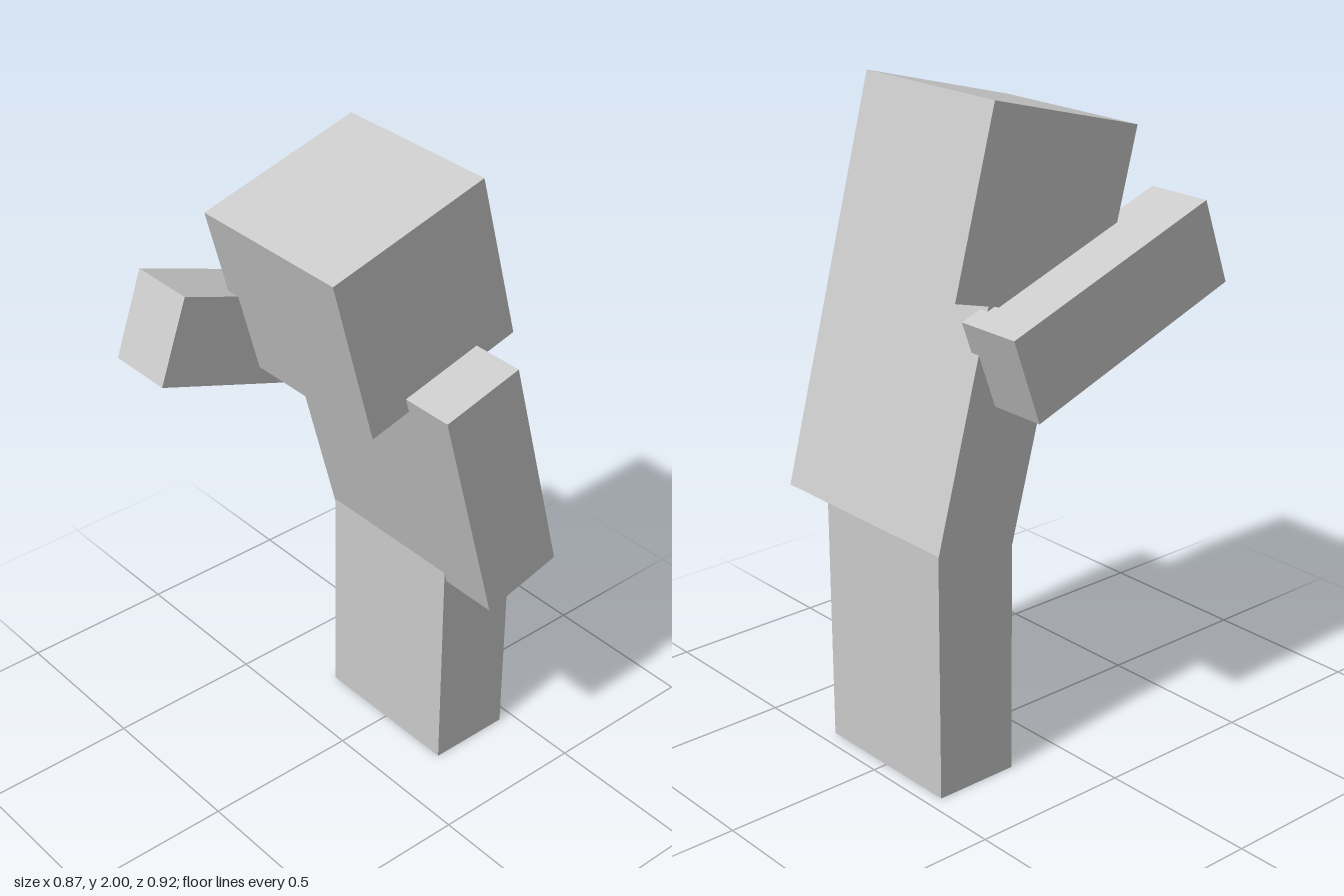
import * as THREE from 'three';

const material = new THREE.MeshStandardMaterial({ color: 0xcccccc, flatShading: true });

// Box given by its x range, height, depth, centre (y, z) and forward tilt in degrees
function block(name, [x0, x1], height, depth, [y, z], tilt = 0) {
  const mesh = new THREE.Mesh(new THREE.BoxGeometry(x1 - x0, height, depth), material);
  mesh.name = name;
  mesh.position.set((x0 + x1) / 2, y, z);
  mesh.rotation.x = THREE.MathUtils.degToRad(tilt);
  return mesh;
}

export function createModel() {
  const group = new THREE.Group();
  group.name = 'blockFigure';
  const lean = 15;

  group.add(
    // Upper body leaning forward
    block('head', [-0.272, 0.268], 0.54, 0.54, [1.67, -0.071], lean),
    block('torso', [-0.257, 0.245], 0.755, 0.27, [1.09, -0.227], lean),
    // Left arm hangs along the torso, right arm reaches forward and up
    block('leftArm', [0.224, 0.435], 0.755, 0.27, [1.09, -0.227], lean),
    block('rightArm', [-0.438, -0.227], 0.755, 0.27, [1.405, 0.06], 70.25),
    // Upright legs side by side
    block('rightLeg', [-0.254, -0.002], 0.76, 0.269, [0.38, -0.3195]),
    block('leftLeg', [-0.002, 0.25], 0.76, 0.269, [0.38, -0.3195])
  );
  return group;
}
